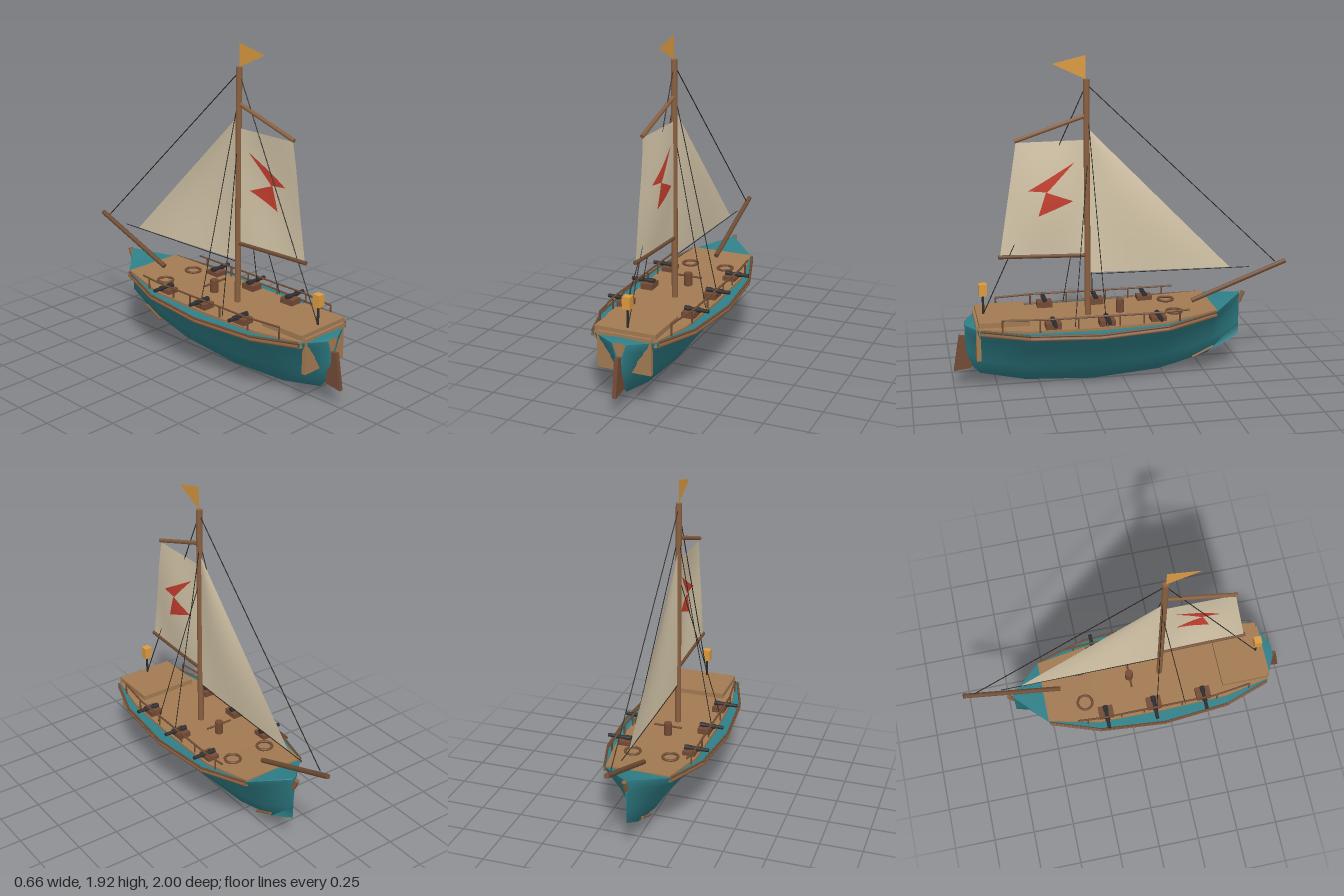
import * as THREE from 'three';

const V = (x, y, z) => new THREE.Vector3(x, y, z);
const paint = (color, flatShading = false) =>
  new THREE.MeshStandardMaterial({ color, flatShading, side: THREE.DoubleSide });

const TEAL = paint(0x2f7f88), PLANK = paint(0xa27a52, true), SPAR = paint(0x8a6040);
const TRIM = paint(0x6f4c33), CRATE = paint(0x734a35), IRON = paint(0x2e2e30);
const ROPE = paint(0x2a2521), CLOTH = paint(0xd6c7aa), RED = paint(0xc8402f), GOLD = paint(0xdc9a40);

// Hull stations from stern to bow: z, half width, keel height, sheer height
const STATIONS = [
  [0.93, 0.04, 0.18, 0.40], [0.85, 0.20, 0.09, 0.41], [0.58, 0.29, 0.03, 0.395],
  [0.18, 0.325, 0.008, 0.39], [-0.22, 0.295, 0.04, 0.405], [-0.52, 0.20, 0.12, 0.44], [-0.71, 0.008, 0.22, 0.49],
];
// Section shape: height fraction, width fraction
const SECTION = [[1, 1], [0.93, 0.95], [0.8, 0.77], [0.6, 0.52], [0.3, 0.24]];

// Surface through rows of points
function lattice(rows) {
  const n = rows[0].length, index = [];
  for (let i = 0; i < rows.length - 1; i++) {
    for (let j = 0; j < n - 1; j++) {
      const a = i * n + j, b = a + 1, c = a + n, d = c + 1;
      index.push(a, b, c, b, d, c);
    }
  }
  const g = new THREE.BufferGeometry().setFromPoints(rows.flat());
  g.setIndex(index);
  g.computeVertexNormals();
  return g;
}

// Bilinear cloth with corners a-b (top) and d-c (bottom), bellied towards +x
function cloth(a, b, c, d, belly, offset = 0, n = 10) {
  const rows = [];
  for (let i = 0; i <= n; i++) {
    const l = a.clone().lerp(d, i / n), r = b.clone().lerp(c, i / n), row = [];
    for (let j = 0; j <= n; j++) {
      const p = l.clone().lerp(r, j / n);
      p.x += belly(p, i / n, j / n) + offset;
      row.push(p);
    }
    rows.push(row);
  }
  return lattice(rows);
}

export function createModel() {
  const ship = new THREE.Group();
  const add = (name, geometry, material, x = 0, y = 0, z = 0) => {
    const m = new THREE.Mesh(geometry, material);
    m.name = name;
    m.position.set(x, y, z);
    ship.add(m);
    return m;
  };
  const box = (name, mat, w, h, d, x, y, z) => add(name, new THREE.BoxGeometry(w, h, d), mat, x, y, z);
  // Round bar between two points
  const beam = (name, mat, a, b, r, sides = 8) => {
    const dir = b.clone().sub(a), mid = a.clone().add(b).multiplyScalar(0.5);
    const m = add(name, new THREE.CylinderGeometry(r, r, dir.length(), sides), mat, mid.x, mid.y, mid.z);
    m.quaternion.setFromUnitVectors(V(0, 1, 0), dir.normalize());
    return m;
  };
  const chain = (name, mat, pts, r) => pts.slice(1).forEach((p, i) => beam(name, mat, pts[i], p, r, 6));

  // Hull shell, end caps and slightly crowned top
  const rings = STATIONS.map(([z, w, keel, top]) => {
    const side = s => SECTION.map(([h, f]) => V(s * w * f, keel + (top - keel) * h, z));
    return [...side(1), V(0, keel, z), ...side(-1).reverse()];
  });
  const hub = ([z, , keel, top]) => rings[0].map(() => V(0, (keel + top) / 2, z));
  add('hull', lattice(rings), TEAL);
  add('hullStern', lattice([hub(STATIONS[0]), rings[0]]), TEAL);
  add('hullBow', lattice([rings.at(-1), hub(STATIONS.at(-1))]), TEAL);
  add('hullTop', lattice(STATIONS.map(([z, w, , t]) => [V(-w, t, z), V(0, t + 0.008, z), V(w, t, z)])), TEAL);

  // Deck slab following the sheer
  const deck = [[0.86, 0.185, 0.42], [0.58, 0.24, 0.41], [0.18, 0.25, 0.408], [-0.22, 0.25, 0.42], [-0.525, 0.19, 0.452]];
  const slab = ([z, w, y], h = 0) => [V(-w, y - 0.04, z), V(-w, y - h, z), V(w, y - h, z), V(w, y - 0.04, z)];
  add('deck', lattice([slab(deck[0], 0.04), ...deck.map(d => slab(d)), slab(deck.at(-1), 0.04)]), PLANK);
  box('sternDeck', PLANK, 0.36, 0.03, 0.29, 0, 0.438, 0.715);
  box('transom', PLANK, 0.32, 0.21, 0.025, 0, 0.325, 0.862);

  // Rudder blade
  const blade = new THREE.Shape([[0.965, 0.33], [0.915, 0.32], [0.895, 0.13], [1.0, 0.115]]
    .map(([z, y]) => new THREE.Vector2(-z, y)));
  const rudder = add('rudder', new THREE.ExtrudeGeometry(blade, { depth: 0.024, bevelEnabled: false }), CRATE, -0.012);
  rudder.rotation.y = Math.PI / 2;

  for (const s of [1, -1]) {
    // Rub rails, gunwales and bilge strakes
    const run = STATIONS.slice(1, 6);
    chain('rubRail', SPAR, run.map(([z, w, , t]) => V(s * w * 0.985, t - 0.018, z)), 0.011);
    chain('gunwale', TRIM, run.map(([z, w, , t]) => V(s * w, t + 0.002, z)), 0.007);
    beam('bilgeStrake', SPAR, V(s * 0.035, 0.11, -0.42), V(s * 0.035, 0.17, -0.55), 0.008, 6);

    // Hand rail with posts
    chain('handRail', TRIM, [V(s * 0.215, 0.475, 0.73), V(s * 0.245, 0.475, 0.5), V(s * 0.245, 0.475, -0.2), V(s * 0.235, 0.48, -0.35)], 0.006);
    for (const z of [0.73, 0.52, 0.3, 0.06, -0.08, -0.29]) {
      const x = s * (z > 0.7 ? 0.215 : 0.242);
      beam('railPost', TRIM, V(x, 0.4, z), V(x, 0.475, z), 0.005, 6);
    }

    // Cannons on carriages
    for (const z of [-0.17, 0.13, 0.44]) {
      box('cannonCarriage', CRATE, 0.075, 0.035, 0.09, s * 0.2, 0.426, z);
      beam('cannonBarrel', IRON, V(s * 0.165, 0.452, z), V(s * 0.31, 0.452, z), 0.011, 10);
      beam('cannonBreech', IRON, V(s * 0.165, 0.452, z), V(s * 0.2, 0.452, z), 0.015, 10);
      beam('cannonBand', IRON, V(s * 0.245, 0.452, z), V(s * 0.26, 0.452, z), 0.015, 10);
    }

    // Coiled rope and shrouds
    add('ropeCoil', new THREE.TorusGeometry(0.045, 0.008, 8, 24), TRIM, s * 0.115, 0.436, -0.285).rotation.x = Math.PI / 2;
    beam('shroud', ROPE, V(0, 1.37, 0.2), V(s * 0.24, 0.42, 0.32), 0.0025, 5);
    beam('shroud', ROPE, V(0, 1.6, 0.2), V(s * 0.24, 0.42, 0.14), 0.0025, 5);
  }

  // Mast and spars
  beam('mast', SPAR, V(0, 0.4, 0.208), V(0, 1.795, 0.208), 0.018, 12);
  beam('gaff', SPAR, V(0, 1.59, 0.21), V(0, 1.455, 0.62), 0.012);
  beam('boom', TRIM, V(0, 0.77, 0.2), V(0, 0.785, 0.725), 0.012);
  beam('bowsprit', TRIM, V(0, 0.455, -0.42), V(0, 0.672, -0.995), 0.015);
  beam('stemPost', SPAR, V(0, 0.43, -0.708), V(0, 0.495, -0.737), 0.014);

  // Stays
  beam('foreStay', ROPE, V(0, 1.76, 0.2), V(0, 0.67, -0.93), 0.003, 5);
  beam('backStay', ROPE, V(0, 1.76, 0.21), V(0, 0.44, 0.825), 0.003, 5);
  beam('jibSheet', ROPE, V(0, 0.655, 0.2), V(0, 0.645, -0.77), 0.0025, 5);

  // Main sail with red patches on both faces
  const mainBelly = p => 0.025 * Math.sin(Math.PI * THREE.MathUtils.clamp((p.z - 0.21) / 0.46, 0, 1))
    * Math.sin(Math.PI * THREE.MathUtils.clamp((p.y - 0.77) / 0.68, 0, 1));
  add('mainSail', cloth(V(0, 1.45, 0.21), V(0, 1.447, 0.612), V(0, 0.79, 0.715), V(0, 0.77, 0.21), mainBelly), CLOTH);
  const patches = [
    [V(0, 1.325, 0.28), V(0, 1.17, 0.55), V(0, 1.16, 0.44)],
    [V(0, 1.16, 0.448), V(0, 1.1, 0.29), V(0, 1.02, 0.493)],
  ];
  for (const [a, b, c] of patches) {
    for (const s of [1, -1]) add('sailPatch', cloth(a, a, b, c, mainBelly, s * 0.004, 6), RED);
  }

  // Jib sail
  const jibBelly = (p, v, u) => 0.02 * Math.sin(Math.PI * u) * Math.sin(Math.PI * v);
  add('jib', cloth(V(0, 1.51, 0.195), V(0, 1.51, 0.195), V(0, 0.65, -0.65), V(0, 0.665, 0.195), jibBelly), CLOTH);

  // Pennant
  add('pennant', lattice([[V(0, 1.93, 0.21), V(0, 1.795, 0.21)], [V(0, 1.885, 0.4), V(0, 1.885, 0.4)]]), GOLD);

  // Capstan with its bar
  beam('capstan', CRATE, V(0, 0.41, 0.015), V(0, 0.49, 0.015), 0.025, 10);
  beam('capstanBar', TRIM, V(-0.085, 0.47, 0.015), V(0.085, 0.47, 0.015), 0.006, 6);

  // Stern lantern
  beam('lanternPost', IRON, V(0, 0.44, 0.82), V(0, 0.565, 0.82), 0.007);
  box('lantern', GOLD, 0.046, 0.07, 0.046, 0, 0.597, 0.82);

  return ship;
}
